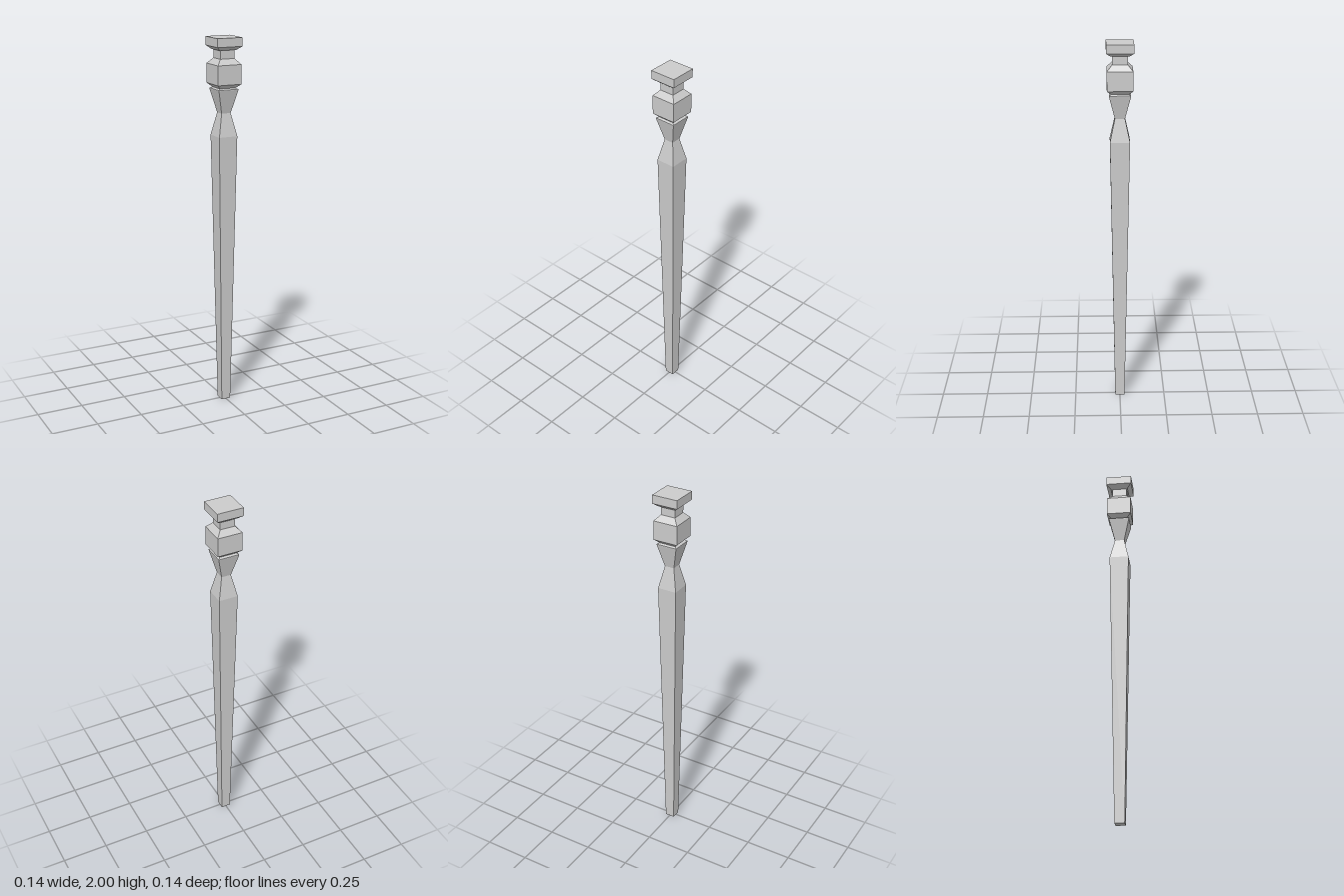
import * as THREE from 'three';

const material = new THREE.MeshStandardMaterial({ color: 0xcccccc, flatShading: true });

// Square turned section: profile is a list of [half width, height], from bottom to top
function squareSection(name, profile) {
  const points = profile.map(([half, y]) => new THREE.Vector2(half * Math.SQRT2, y));
  const geometry = new THREE.LatheGeometry(points, 4, Math.PI / 4).toNonIndexed();
  geometry.computeVertexNormals();
  const mesh = new THREE.Mesh(geometry, material);
  mesh.name = name;
  return mesh;
}

export function createModel() {
  const leg = new THREE.Group();
  leg.name = 'taperedLeg';

  leg.add(
    // Long taper, pinched waist and flared top with a thin lip
    squareSection('shaft', [
      [0, 0], [0.026, 0], [0.052, 1.49], [0.026, 1.61], [0.056, 1.732], [0.056, 1.736], [0.045, 1.742],
    ]),
    // Square block with bevelled underside and shoulders
    squareSection('block', [
      [0.045, 1.742], [0.067, 1.762], [0.067, 1.863], [0.04, 1.892],
    ]),
    // Narrow neck
    squareSection('neck', [[0.04, 1.892], [0.04, 1.936]]),
    // Top plate with bevelled underside
    squareSection('topPlate', [
      [0.04, 1.936], [0.047, 1.936], [0.0705, 1.955], [0.0705, 2], [0, 2],
    ]),
  );
  return leg;
}
